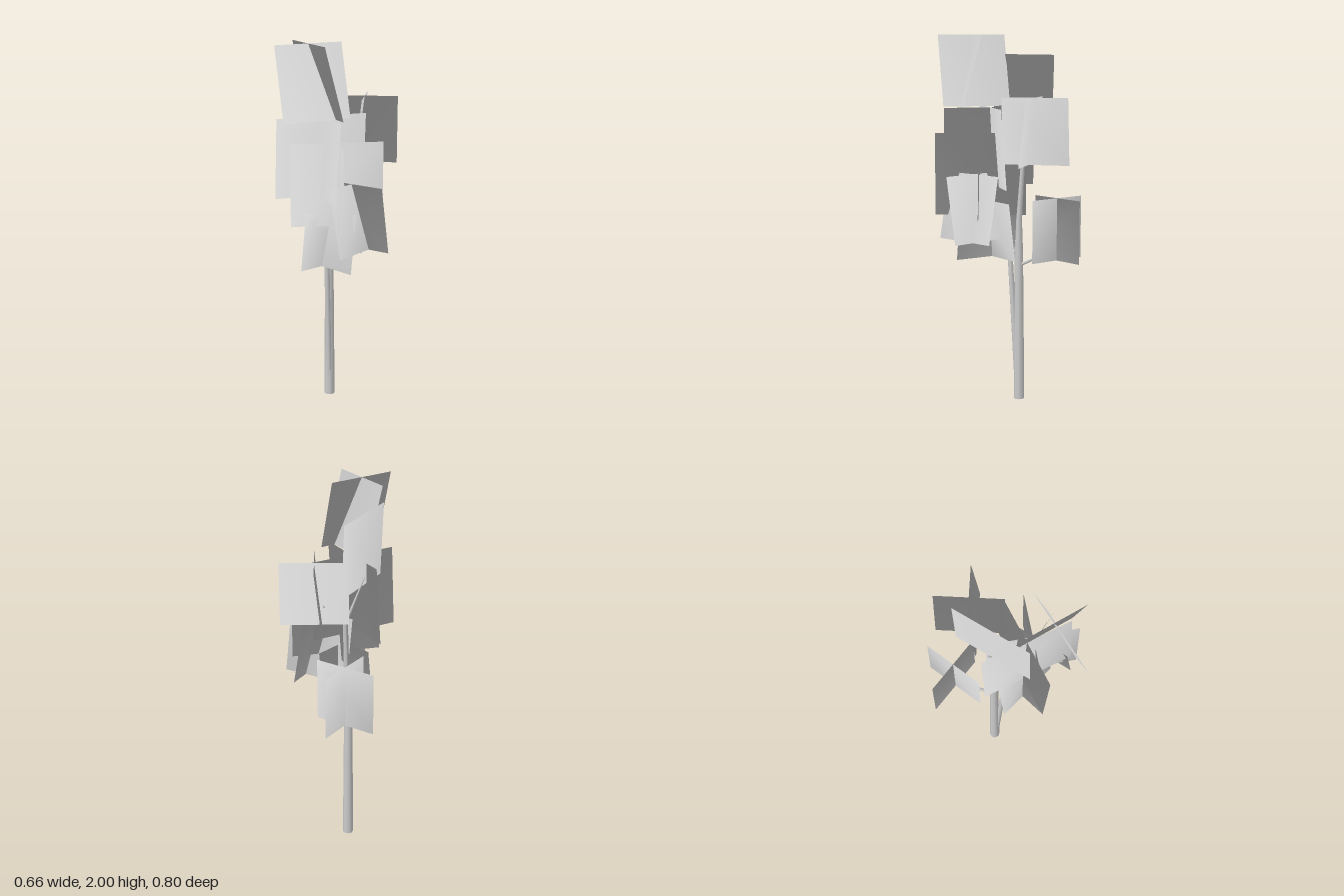
import * as THREE from 'three';

const V = (x, y, z) => new THREE.Vector3(x, y, z);

export function createModel() {
  const tree = new THREE.Group();
  tree.name = 'tree';
  const grey = new THREE.MeshStandardMaterial({ color: 0xcccccc, side: THREE.DoubleSide });
  grey.name = 'light grey';

  // Foliage normals spread outwards from this point on the tree's axis
  const heart = V(0, 0.7, 0);

  // One leaf card hanging from the middle of its top edge; the bottom edge
  // swings out by lean towards the given angle (degrees from +x to +z).
  function leafCard(top, width, height, lean, angle) {
    const a = THREE.MathUtils.degToRad(angle);
    const out = V(Math.cos(a), 0, Math.sin(a));
    const side = V(out.z, 0, -out.x);
    const geo = new THREE.PlaneGeometry(1, 1);
    const { position, normal } = geo.attributes;
    for (let i = 0; i < position.count; i++) {
      const drop = 0.5 - position.getY(i);
      const p = top.clone().addScaledVector(side, position.getX(i) * width)
        .addScaledVector(out, lean * drop);
      p.y -= height * drop;
      position.setXYZ(i, p.x, p.y, p.z);
      const n = p.sub(heart).normalize();
      normal.setXYZ(i, n.x, n.y, n.z);
    }
    // Turn the front of the card away from the axis
    if (out.dot(top) < 0) geo.index.array.reverse();
    const mesh = new THREE.Mesh(geo, grey);
    mesh.name = 'leafCard';
    return mesh;
  }

  // Foliage: top point, width, height, lean, angle, number of crossed cards
  const clusters = [
    ['crownLeaves', V(-0.153, 2.0, 0.219), 0.378, 0.383, 0.104, -26, 2],
    ['upperBackLeaves', V(-0.122, 1.895, -0.075), 0.44, 0.4, 0.015, 36.4, 1],
    ['upperLeftLeaves', V(0.151, 1.675, -0.164), 0.36, 0.357, 0.04, 97.5, 2],
    ['upperFrontLeaves', V(-0.084, 1.61, 0.107), 0.506, 0.43, 0.03, 158, 2],
    ['middleLeaves', V(-0.006, 1.475, 0.147), 0.492, 0.445, 0.005, 83.5, 2],
    ['lowerFrontLeaves', V(0.07, 1.26, 0.176), 0.385, 0.36, 0.066, -52.5, 2],
    ['lowerBackLeaves', V(0.006, 1.13, -0.272), 0.353, 0.34, 0.002, 42, 2],
    ['bottomLeaves', V(-0.03, 1.105, 0.1), 0.375, 0.315, 0.04, 138.5, 2],
  ];
  for (const [name, top, w, h, lean, angle, count] of clusters) {
    const cluster = new THREE.Group();
    cluster.name = name;
    for (let i = 0; i < count; i++) cluster.add(leafCard(top, w, h, lean, angle + 90 * i));
    tree.add(cluster);
  }

  // Tapered open limb made of cylinder sections along a list of [point, radius]
  function limb(name, nodes) {
    const group = new THREE.Group();
    group.name = name;
    for (let i = 0; i < nodes.length - 1; i++) {
      const [a, ra] = nodes[i];
      const [b, rb] = nodes[i + 1];
      const dir = b.clone().sub(a);
      const mesh = new THREE.Mesh(new THREE.CylinderGeometry(rb, ra, dir.length(), 8, 1, true), grey);
      mesh.position.copy(a).add(b).multiplyScalar(0.5);
      mesh.quaternion.setFromUnitVectors(V(0, 1, 0), dir.normalize());
      mesh.name = name + 'Section';
      group.add(mesh);
    }
    tree.add(group);
  }

  // Trunk and the second stem leaning forward from it
  limb('trunk', [[V(-0.044, 0, -0.06), 0.029], [V(-0.044, 0.82, -0.058), 0.023],
    [V(-0.035, 1.0, -0.06), 0.016], [V(-0.02, 1.33, -0.083), 0.011]]);
  limb('frontStem', [[V(-0.046, 0.08, -0.05), 0.016], [V(-0.058, 0.8, -0.008), 0.014],
    [V(-0.045, 0.92, 0.03), 0.01], [V(-0.03, 1.08, 0.1), 0.007], [V(-0.01, 1.4, 0.145), 0.003]]);

  // Side branches
  limb('leftBranch', [[V(-0.025, 1.3, -0.08), 0.009], [V(0.105, 1.43, -0.145), 0.003]]);
  limb('rightBranch', [[V(-0.025, 1.3, -0.08), 0.009], [V(-0.125, 1.55, -0.073), 0.003]]);
  limb('frontBranch', [[V(-0.025, 1.28, -0.08), 0.008], [V(0, 1.4, 0.02), 0.003]]);
  limb('backBranch', [[V(-0.04, 0.75, -0.06), 0.009], [V(-0.02, 0.8, -0.16), 0.007],
    [V(0.006, 0.88, -0.268), 0.003]]);

  return tree;
}
